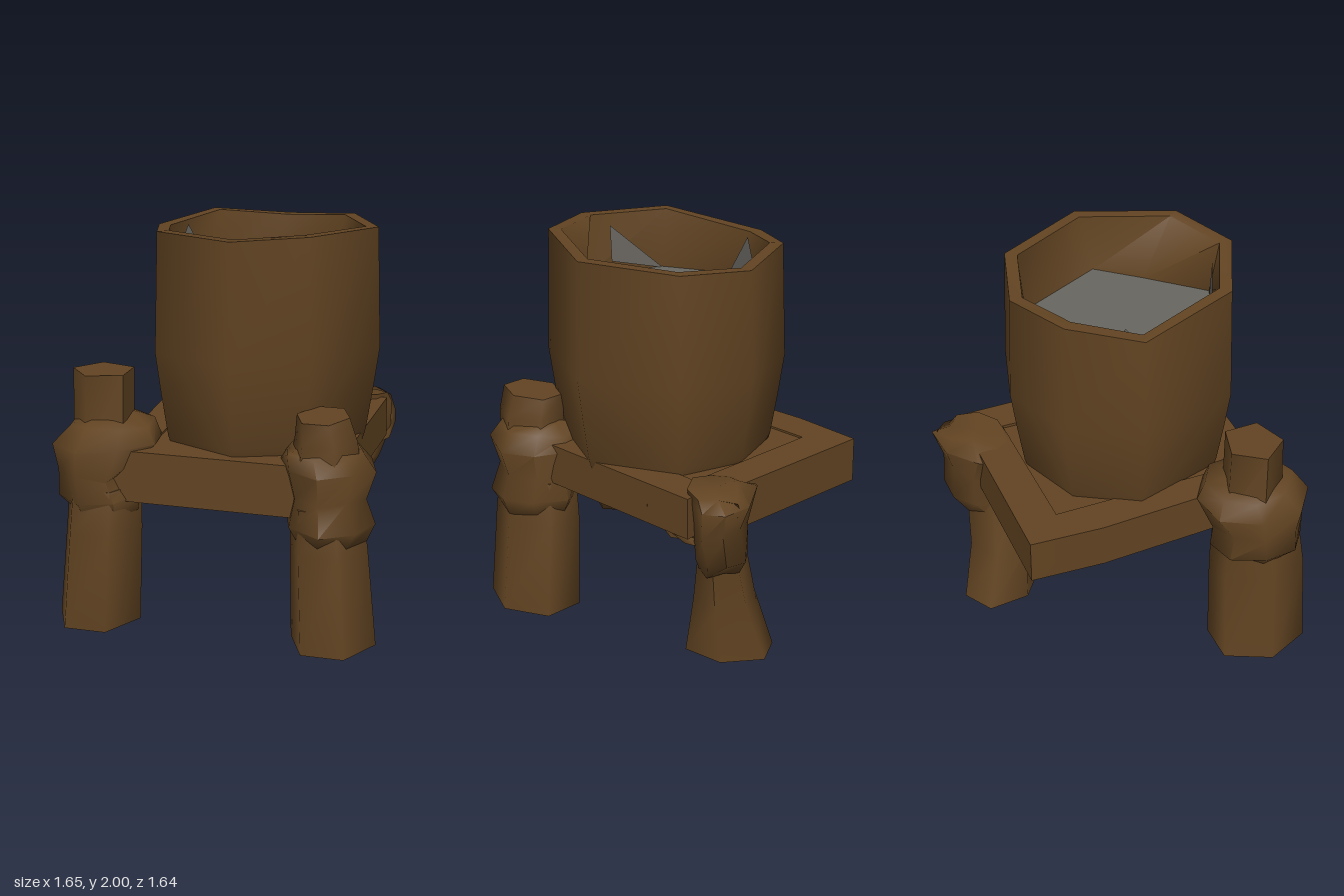
import * as THREE from 'three';
import { toCreasedNormals } from 'three/addons/utils/BufferGeometryUtils.js';

const wood = new THREE.MeshStandardMaterial({ color: 0x624422 });
wood.name = 'brown wood';
const water = new THREE.MeshStandardMaterial({ color: 0x696660, side: THREE.DoubleSide });
water.name = 'grey water';

let seed = 7;
const rand = () => (seed = (seed * 16807) % 2147483647) / 2147483647;

// Skin over closed rings of points; each end is closed by a fan to its centre
function loft(rings, { bottom = true, top = true, crease = 1.25 } = {}) {
  const out = [];
  const n = rings[0].length;
  const middle = (r) => [0, 1, 2].map((k) => r.reduce((s, p) => s + p[k], 0) / n);
  const first = rings[0], last = rings[rings.length - 1];
  for (let j = 0; j < n; j++) {
    const k = (j + 1) % n;
    for (let i = 0; i + 1 < rings.length; i++) {
      const a = rings[i][j], b = rings[i][k], c = rings[i + 1][k], d = rings[i + 1][j];
      out.push(...a, ...d, ...b, ...b, ...d, ...c);
    }
    if (bottom) out.push(...middle(first), ...first[j], ...first[k]);
    if (top) out.push(...middle(last), ...last[k], ...last[j]);
  }
  const g = new THREE.BufferGeometry();
  g.setAttribute('position', new THREE.Float32BufferAttribute(out, 3));
  return toCreasedNormals(g, crease);
}

// Rows are [y, centre x, centre z, radius x, radius z]; jag roughens the outline, spin turns the ovals
function column(rows, sides, { turn = 0, jag = 0, spin = 0 } = {}) {
  const c = Math.cos(spin), s = Math.sin(spin);
  return loft(rows.map(([y, cx, cz, rx, rz]) =>
    Array.from({ length: sides }, (_, j) => {
      const a = turn + (j / sides) * Math.PI * 2;
      const r = 1 + jag * (rand() * 2 - 1);
      const u = Math.cos(a) * rx * r, v = Math.sin(a) * rz * r;
      return [cx + u * c - v * s, y + jag * 0.35 * (rand() - 0.5), cz + u * s + v * c];
    })));
}

export function createModel() {
  const group = new THREE.Group();
  const add = (name, geometry, material = wood) => {
    const m = new THREE.Mesh(geometry, material);
    m.name = name;
    group.add(m);
    return m;
  };

  // Uneven eight-sided bucket, with a thick rim, a hollow inside and a keeled bottom
  const plan = [[0.71, 0.04], [0.48, 0.52], [0.12, 0.67], [-0.31, 0.47],
    [-0.48, -0.06], [-0.28, -0.4], [0.1, -0.54], [0.48, -0.43]];
  const rim = [1.98, 2.0, 1.985, 1.98, 1.92, 1.96, 1.93, 1.96];
  const keel = [0.65, 0.69, 0.7, 0.69, 0.645, 0.68, 0.69, 0.69];
  const ring = (s, y) => plan.map(([x, z], i) =>
    [0.12 + (x - 0.12) * s, Array.isArray(y) ? y[i] : y, 0.06 + (z - 0.06) * s]);
  const surface = [[0.6, 0.1], [0.42, 0.31], [0.18, 0.57], [-0.22, 0.42],
    [-0.4, 0.07], [-0.28, -0.24], [0, -0.46], [0.37, -0.35]].map(([x, z]) => [x, 1.67, z]);
  add('bucket', loft([ring(0.08, 0.63), ring(0.75, keel), ring(0.9, 0.95), ring(0.96, 1.17),
    ring(1.01, 1.38), ring(0.98, rim), ring(0.87, rim), surface], { top: false }));

  // Water surface and the two pointed splashes against the wall
  add('water', loft([surface, surface.map(([x, , z]) => [x, 1.675, z])]), water);
  const splash = new THREE.BufferGeometry();
  splash.setAttribute('position', new THREE.Float32BufferAttribute(
    [-0.37, 1.67, 0.08, -0.255, 1.67, -0.25, -0.325, 1.92, -0.1,
      -0.22, 1.67, 0.41, 0.05, 1.93, 0.52, 0.05, 1.74, 0.51], 3));
  splash.computeVertexNormals();
  add('splashes', splash, water);

  // Square frame that carries the bucket
  const slab = (name, corners, y0, y1) =>
    add(name, loft([y0, y1].map((y) => corners.map(([x, z]) => [x, y, z])), { crease: 0.4 }));
  slab('deck', [[0.55, 0.6], [-0.47, 0.6], [-0.48, -0.62], [0.55, -0.62]], 0.7, 0.92);
  slab('frontBeam', [[0.5, 0.66], [-0.5, 0.65], [-0.5, 0.46], [0.5, 0.46]], 0.66, 0.92);
  slab('backBeam', [[0.55, -0.48], [-0.45, -0.48], [-0.52, -0.68], [0.4, -0.67]], 0.7, 0.93);
  slab('rightBeam', [[-0.33, 0.5], [-0.48, 0.5], [-0.535, -0.3], [-0.52, -0.68], [-0.35, -0.6]], 0.7, 0.93);
  slab('leftBeam', [[0.64, 0.4], [0.44, 0.4], [0.44, -0.6], [0.62, -0.62]], 0.725, 0.935);

  // Legs, narrowing upward; the back one is flattened toward its top
  add('frontRightLeg', column([[0, -0.605, 0.535, 0.215, 0.265], [0.5, -0.575, 0.53, 0.2, 0.255],
    [0.72, -0.57, 0.52, 0.19, 0.23]], 6));
  add('frontLeftLeg', column([[0, 0.615, 0.535, 0.215, 0.265], [0.5, 0.585, 0.53, 0.195, 0.25],
    [0.72, 0.57, 0.53, 0.18, 0.22]], 6));
  add('backLeg', column([[0, 0.28, -0.575, 0.18, 0.235], [0.3, 0.31, -0.565, 0.185, 0.155],
    [0.65, 0.36, -0.59, 0.185, 0.1]], 6, { spin: -Math.PI / 6 }));

  // Lumpy knots where the beams meet the legs
  add('frontRightKnot', column([[0.59, -0.57, 0.52, 0.18, 0.19], [0.66, -0.585, 0.52, 0.235, 0.245],
    [0.78, -0.605, 0.51, 0.18, 0.22], [0.93, -0.57, 0.49, 0.26, 0.28],
    [1.02, -0.55, 0.47, 0.21, 0.22], [1.05, -0.58, 0.47, 0.12, 0.12]], 8, { turn: 0.2, jag: 0.1 }));
  add('frontLeftKnot', column([[0.53, 0.58, 0.53, 0.17, 0.2], [0.62, 0.6, 0.53, 0.23, 0.25],
    [0.76, 0.58, 0.53, 0.19, 0.22], [0.9, 0.59, 0.53, 0.23, 0.26],
    [0.97, 0.56, 0.53, 0.19, 0.21], [1.02, 0.56, 0.54, 0.13, 0.15]], 8, { jag: 0.1 }));
  add('backKnot', column([[0.5, 0.37, -0.6, 0.15, 0.1], [0.6, 0.41, -0.65, 0.19, 0.13],
    [0.76, 0.43, -0.65, 0.2, 0.13], [0.9, 0.4, -0.64, 0.26, 0.15],
    [0.95, 0.45, -0.63, 0.16, 0.12]], 8, { turn: 0.3, jag: 0.1, spin: -Math.PI / 6 }));

  // Rounded end of the side beam, past the back knot
  const beamEnd = [[-0.35, 0.54, 0.82, 0.09, 0.1], [-0.62, 0.56, 0.81, 0.11, 0.14],
    [-0.75, 0.55, 0.84, 0.09, 0.11], [-0.81, 0.51, 0.89, 0.05, 0.05]];
  add('leftBeamEnd', loft(beamEnd.map(([z, cx, cy, rx, ry]) =>
    Array.from({ length: 8 }, (_, j) => {
      const a = (-j / 8) * Math.PI * 2;
      return [cx + Math.cos(a) * rx, cy + Math.sin(a) * ry, z];
    }).reverse()).reverse()));

  // Post tops above the front knots
  add('frontRightPost', column([[0.9, -0.59, 0.47, 0.16, 0.16], [1.275, -0.585, 0.47, 0.16, 0.15]],
    5, { turn: 0.6 }));
  add('frontLeftPost', column([[0.88, 0.57, 0.56, 0.18, 0.19], [1.04, 0.575, 0.565, 0.155, 0.185],
    [1.155, 0.56, 0.565, 0.13, 0.18]], 6));

  return group;
}
